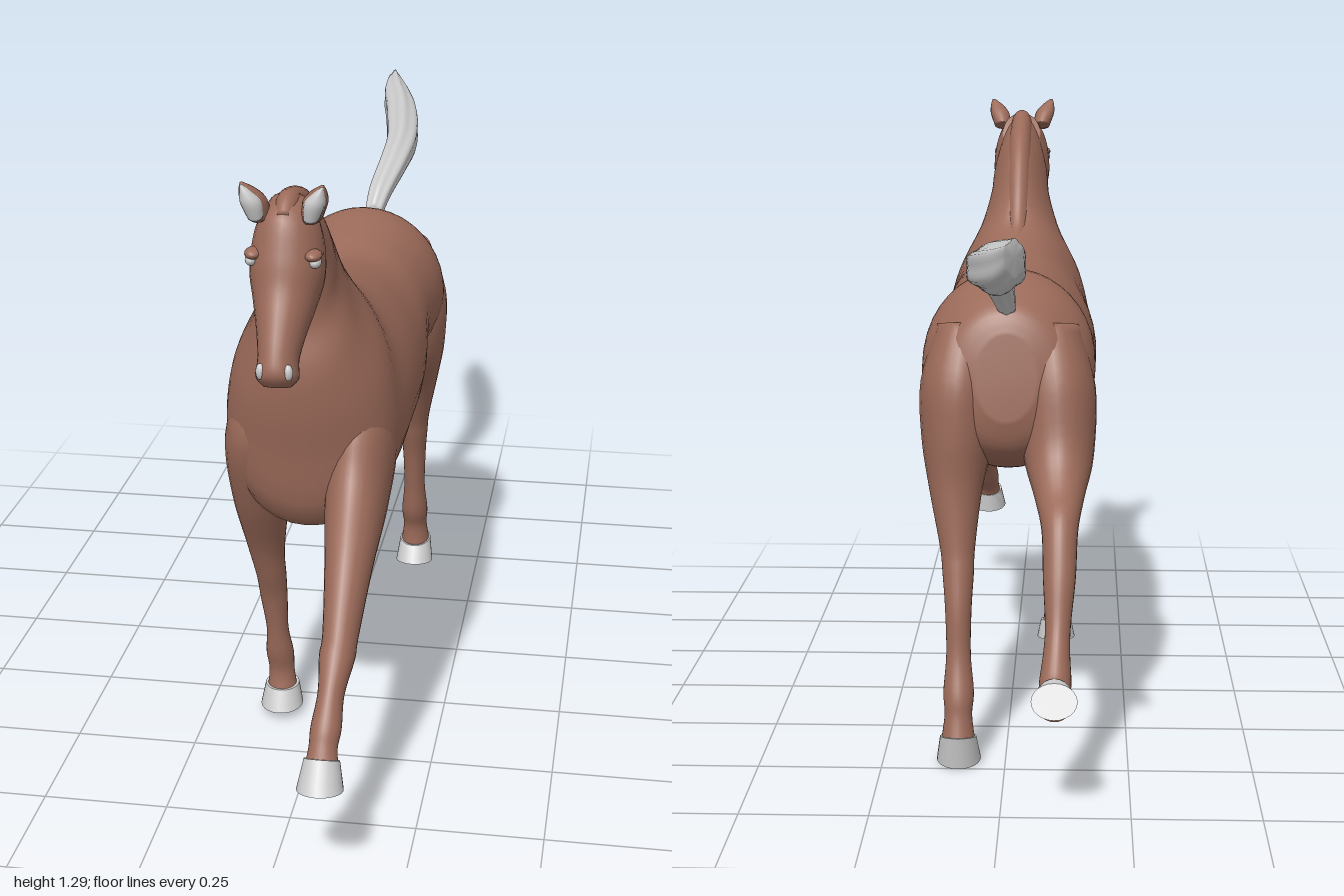
import * as THREE from 'three';
import { toCreasedNormals } from 'three/addons/utils/BufferGeometryUtils.js';

const coat = new THREE.MeshStandardMaterial({ color: 0x9c6b5a });
const grey = new THREE.MeshStandardMaterial({ color: 0xcccccc });

// Catmull-Rom over whole section rows
function refine(rows, steps) {
  const out = [];
  const at = i => rows[Math.max(0, Math.min(rows.length - 1, i))];
  for (let i = 0; i < rows.length - 1; i++) {
    for (let k = 0; k < steps; k++) {
      const t = k / steps;
      out.push(rows[i].map((_, j) => {
        const a = at(i - 1)[j], b = at(i)[j], c = at(i + 1)[j], d = at(i + 2)[j];
        return b + 0.5 * t * (c - a + t * (2 * a - 5 * b + 4 * c - d + t * (3 * (b - c) + d - a)));
      }));
    }
  }
  out.push(rows[rows.length - 1]);
  return out;
}

// Closed skin through sections [z1, y1, z2, y2, x, halfWidth, taper]:
// the two (z, y) points are the upper/front and lower/back edge of the ring.
function loft(rows, { steps = 5, sides = 28, ridges = 0, depth = 0, crease = 0 } = {}) {
  const full = rows.map(r => [r[0], r[1], r[2], r[3], r[4], r[5], r[6] ?? 0]);
  const secs = refine(full, steps);
  const pos = [], idx = [];
  for (const [z1, y1, z2, y2, x, w, taper] of secs) {
    for (let i = 0; i < sides; i++) {
      const a = (i / sides) * Math.PI * 2;
      const r = 1 - depth * (0.5 + 0.5 * Math.cos(a * ridges));
      const s = Math.sin(a) * r, c = Math.cos(a) * r;
      pos.push(x + c * w * (1 - taper * s),
        (y1 + y2) / 2 + s * (y1 - y2) / 2,
        (z1 + z2) / 2 + s * (z1 - z2) / 2);
    }
  }
  const n = secs.length;
  for (let k = 0; k < n - 1; k++) {
    for (let i = 0; i < sides; i++) {
      const a = k * sides + i, b = k * sides + (i + 1) % sides;
      idx.push(a, b, a + sides, b, b + sides, a + sides);
    }
  }
  [0, n - 1].forEach((k, end) => {
    const [z1, y1, z2, y2, x] = secs[k];
    const mid = pos.length / 3;
    pos.push(x, (y1 + y2) / 2, (z1 + z2) / 2);
    for (let i = 0; i < sides; i++) {
      const a = k * sides + i, b = k * sides + (i + 1) % sides;
      if (end) idx.push(a, b, mid); else idx.push(b, a, mid);
    }
  });
  // Turn the faces outward if the signed volume is negative
  const v = i => new THREE.Vector3().fromArray(pos, i * 3);
  let volume = 0;
  for (let i = 0; i < idx.length; i += 3) volume += v(idx[i]).dot(v(idx[i + 1]).cross(v(idx[i + 2])));
  if (volume < 0) idx.reverse();
  const geo = new THREE.BufferGeometry();
  geo.setAttribute('position', new THREE.Float32BufferAttribute(pos, 3));
  geo.setIndex(idx);
  geo.computeVertexNormals();
  return crease ? toCreasedNormals(geo, crease) : geo;
}

export function createModel() {
  const horse = new THREE.Group();
  horse.name = 'horse';
  const add = (name, geo, mat) => {
    const mesh = new THREE.Mesh(geo, mat);
    mesh.name = name;
    horse.add(mesh);
    return mesh;
  };

  // Neck and trunk in one skin, poll to rump
  add('body', loft([
    [0.70, 1.255, 0.635, 1.11, 0, 0.048, 0.2],
    [0.575, 1.225, 0.62, 1.04, 0, 0.062, 0.3],
    [0.49, 1.17, 0.613, 0.97, 0, 0.07, 0.3],
    [0.42, 1.09, 0.627, 0.87, 0, 0.098, 0.3],
    [0.365, 1.02, 0.605, 0.72, 0, 0.15, 0.2],
    [0.30, 0.99, 0.545, 0.54, 0, 0.175, 0.12],
    [0.20, 0.968, 0.30, 0.55, 0, 0.184, 0.1],
    [0.05, 0.946, 0.10, 0.55, 0, 0.18, 0.05],
    [-0.07, 0.963, -0.08, 0.595, 0, 0.168, 0],
    [-0.20, 0.98, -0.20, 0.60, 0, 0.18, 0],
    [-0.29, 0.957, -0.30, 0.58, 0, 0.172, 0],
    [-0.36, 0.92, -0.385, 0.63, 0, 0.125, 0],
    [-0.385, 0.87, -0.41, 0.70, 0, 0.06, 0]], { sides: 40 }), coat);

  // Mane ridge along the crest
  add('mane', loft([
    [0.755, 1.235, 0.73, 1.20, 0, 0.018],
    [0.70, 1.265, 0.68, 1.20, 0, 0.024],
    [0.57, 1.234, 0.59, 1.16, 0, 0.027],
    [0.49, 1.18, 0.53, 1.11, 0, 0.027],
    [0.418, 1.1, 0.46, 1.04, 0, 0.026],
    [0.345, 1.01, 0.38, 0.95, 0, 0.024],
    [0.26, 0.98, 0.27, 0.95, 0, 0.01]]), coat);

  // Head, poll to lips
  add('head', loft([
    [0.69, 1.258, 0.625, 1.17, 0, 0.045],
    [0.752, 1.235, 0.622, 1.095, 0, 0.064],
    [0.783, 1.165, 0.64, 1.055, 0, 0.068, -0.05],
    [0.80, 1.11, 0.69, 1.02, 0, 0.057],
    [0.825, 1.06, 0.735, 0.988, 0, 0.045],
    [0.852, 1.005, 0.765, 0.962, 0, 0.037],
    [0.863, 0.968, 0.78, 0.938, 0, 0.039],
    [0.848, 0.942, 0.80, 0.931, 0, 0.026]]), coat);

  // Paired ears, eyes and nostrils
  for (const [side, s] of [['left', 1], ['right', -1]]) {
    add(side + 'Ear', loft([
      [0.752, 1.215, 0.69, 1.235, s * 0.048, 0.02],
      [0.764, 1.25, 0.712, 1.26, s * 0.056, 0.023],
      [0.765, 1.272, 0.735, 1.278, s * 0.064, 0.015],
      [0.762, 1.289, 0.755, 1.29, s * 0.072, 0.003]], { sides: 16 }), coat);
    add(side + 'InnerEar', loft([
      [0.762, 1.22, 0.735, 1.23, s * 0.05, 0.014],
      [0.772, 1.25, 0.735, 1.258, s * 0.057, 0.019],
      [0.771, 1.27, 0.745, 1.275, s * 0.064, 0.012],
      [0.766, 1.286, 0.757, 1.288, s * 0.072, 0.002]], { sides: 16 }), grey);
    const eye = add(side + 'Eye', new THREE.SphereGeometry(0.014, 16, 10), grey);
    eye.position.set(s * 0.058, 1.148, 0.753);
    eye.scale.set(0.8, 0.8, 1.2);
    const brow = add(side + 'Brow', new THREE.SphereGeometry(0.018, 16, 10), coat);
    brow.position.set(s * 0.054, 1.16, 0.752);
    brow.scale.set(0.9, 0.6, 1.3);
    const nostril = add(side + 'Nostril', new THREE.SphereGeometry(0.011, 12, 8), grey);
    nostril.position.set(s * 0.025, 0.972, 0.849);
    nostril.scale.set(0.8, 1.4, 0.8);
  }

  // Legs: shoulder or thigh down to the pastern, then the hoof (coronet to sole)
  const legs = {
    leftFore: [[
      [0.50, 0.86, 0.36, 0.80, 0.09, 0.05],
      [0.57, 0.77, 0.36, 0.64, 0.10, 0.068],
      [0.62, 0.67, 0.46, 0.535, 0.10, 0.062],
      [0.73, 0.555, 0.62, 0.485, 0.105, 0.046],
      [0.81, 0.45, 0.738, 0.395, 0.105, 0.034],
      [0.835, 0.415, 0.768, 0.368, 0.103, 0.034],
      [0.878, 0.362, 0.828, 0.323, 0.10, 0.025],
      [0.918, 0.31, 0.866, 0.275, 0.097, 0.029],
      [0.935, 0.28, 0.892, 0.248, 0.095, 0.027],
      [0.952, 0.25, 0.905, 0.225, 0.095, 0.031]],
      [[0.957, 0.262, 0.90, 0.232, 0.095, 0.034], [1.0, 0.208, 0.903, 0.187, 0.095, 0.044]]],
    rightFore: [[
      [0.54, 0.85, 0.36, 0.82, -0.09, 0.05],
      [0.575, 0.72, 0.36, 0.68, -0.105, 0.068],
      [0.52, 0.565, 0.37, 0.56, -0.11, 0.058],
      [0.445, 0.43, 0.357, 0.41, -0.11, 0.038],
      [0.412, 0.35, 0.34, 0.335, -0.105, 0.031],
      [0.388, 0.29, 0.332, 0.27, -0.103, 0.028],
      [0.37, 0.21, 0.318, 0.20, -0.10, 0.023],
      [0.362, 0.15, 0.297, 0.135, -0.098, 0.029],
      [0.35, 0.10, 0.302, 0.095, -0.095, 0.027],
      [0.357, 0.055, 0.296, 0.055, -0.094, 0.032]],
      [[0.36, 0.062, 0.292, 0.07, -0.094, 0.036], [0.382, 0.018, 0.285, 0.024, -0.094, 0.045]]],
    leftHind: [[
      [-0.19, 0.86, -0.35, 0.89, 0.085, 0.06],
      [-0.16, 0.74, -0.405, 0.78, 0.10, 0.08],
      [-0.19, 0.62, -0.415, 0.67, 0.103, 0.075],
      [-0.28, 0.535, -0.41, 0.56, 0.105, 0.055],
      [-0.34, 0.425, -0.42, 0.44, 0.10, 0.036],
      [-0.36, 0.37, -0.43, 0.39, 0.098, 0.032],
      [-0.38, 0.31, -0.448, 0.31, 0.097, 0.027],
      [-0.40, 0.22, -0.46, 0.22, 0.096, 0.025],
      [-0.412, 0.15, -0.487, 0.145, 0.095, 0.031],
      [-0.432, 0.10, -0.495, 0.105, 0.095, 0.028],
      [-0.434, 0.05, -0.51, 0.06, 0.095, 0.034]],
      [[-0.43, 0.052, -0.513, 0.068, 0.095, 0.037], [-0.403, 0.013, -0.503, 0, 0.095, 0.045]]],
    rightHind: [[
      [-0.35, 0.89, -0.19, 0.86, -0.085, 0.06],
      [-0.405, 0.78, -0.18, 0.72, -0.10, 0.08],
      [-0.435, 0.655, -0.26, 0.58, -0.105, 0.072],
      [-0.49, 0.585, -0.40, 0.52, -0.108, 0.05],
      [-0.56, 0.535, -0.495, 0.475, -0.11, 0.036],
      [-0.61, 0.445, -0.548, 0.405, -0.11, 0.032],
      [-0.645, 0.36, -0.595, 0.32, -0.108, 0.025],
      [-0.672, 0.315, -0.62, 0.27, -0.106, 0.026],
      [-0.705, 0.275, -0.65, 0.215, -0.104, 0.031],
      [-0.72, 0.262, -0.695, 0.182, -0.103, 0.029],
      [-0.74, 0.25, -0.732, 0.185, -0.103, 0.032]],
      [[-0.718, 0.266, -0.722, 0.186, -0.103, 0.037], [-0.742, 0.265, -0.788, 0.208, -0.103, 0.044]]],
  };
  for (const [name, [leg, hoof]] of Object.entries(legs)) {
    add(name + 'Leg', loft(leg), coat);
    add(name + 'Hoof', loft(hoof, { steps: 3, sides: 24, crease: 0.7 }), grey);
  }

  // Streaming tail with strand grooves
  add('tail', loft([
    [-0.355, 0.945, -0.365, 0.905, 0, 0.02],
    [-0.395, 0.99, -0.42, 0.945, 0.01, 0.028],
    [-0.49, 1.04, -0.505, 0.98, 0.027, 0.034],
    [-0.60, 1.072, -0.61, 0.992, 0.032, 0.038],
    [-0.72, 1.092, -0.72, 1.0, 0.02, 0.042],
    [-0.84, 1.11, -0.83, 1.01, 0, 0.04],
    [-0.93, 1.122, -0.915, 1.03, -0.022, 0.034],
    [-0.998, 1.132, -0.955, 1.06, -0.036, 0.018]], { ridges: 6, depth: 0.13, sides: 36 }), grey);

  return horse;
}
